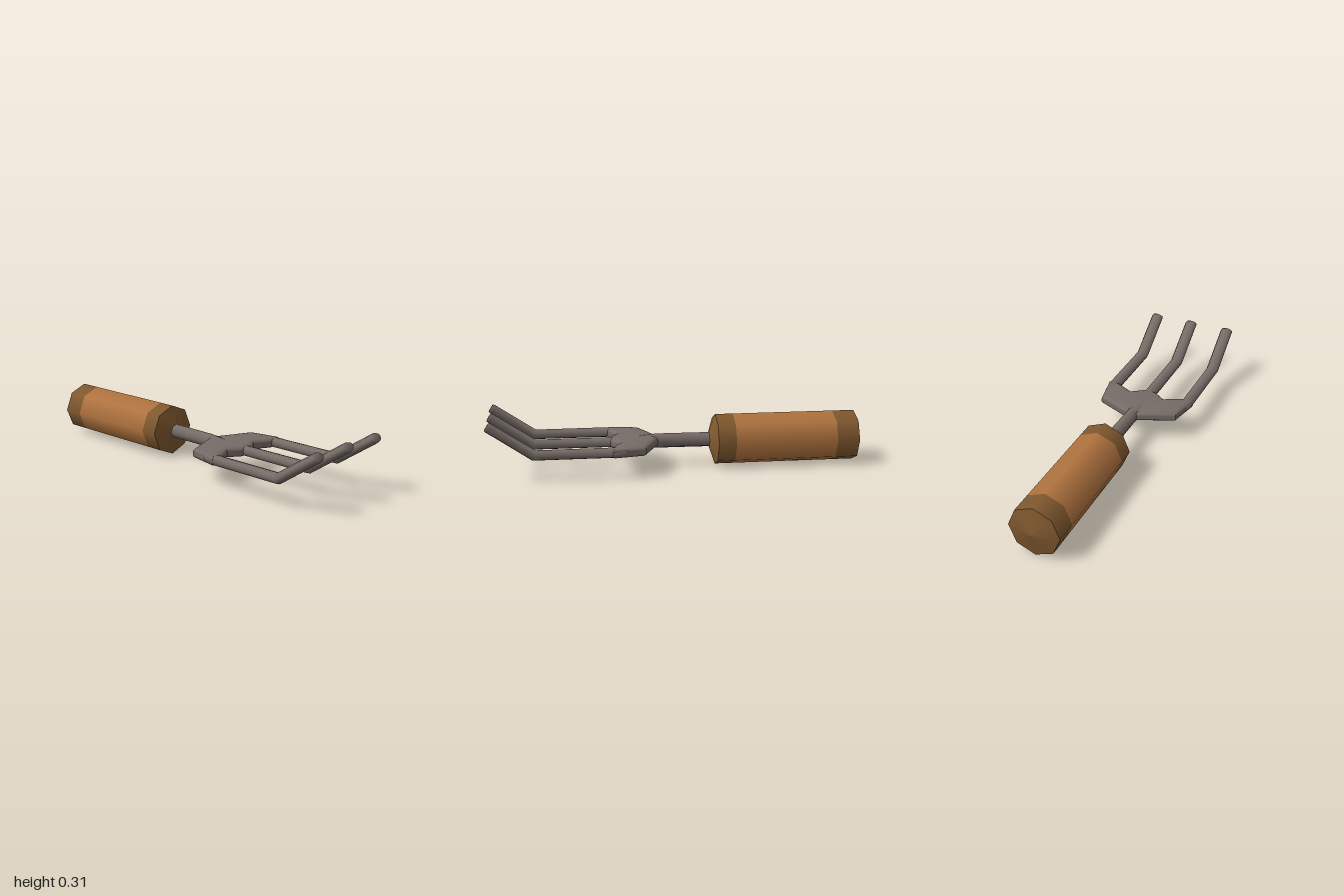
import * as THREE from 'three';
import { mergeVertices, toCreasedNormals } from 'three/addons/utils/BufferGeometryUtils.js';

const MID_Y = 0.14;

function material(name, color) {
  const m = new THREE.MeshStandardMaterial({ color });
  m.name = name;
  return m;
}

// Eight-sided rod along z; each row is [x, y, z, radiusX, radiusY, tilt]
function rod(rows) {
  const n = rows.length - 1;
  const g = new THREE.CylinderGeometry(1, 1, n, 8, n).rotateX(Math.PI / 2);
  const p = g.attributes.position;
  for (let i = 0; i < p.count; i++) {
    const [x, y, z, rx, ry, tilt] = rows[Math.round(p.getZ(i) + n / 2)];
    const up = p.getY(i) * ry;
    p.setXYZ(i, x + p.getX(i) * rx, y + up * Math.cos(tilt), z - up * Math.sin(tilt));
  }
  g.deleteAttribute('normal');
  g.deleteAttribute('uv');
  const smooth = mergeVertices(g, 1e-4);
  smooth.computeVertexNormals();
  return smooth;
}

export function createModel() {
  const model = new THREE.Group();
  model.name = 'handFork';
  const wood = material('orangeWood', 0xb0733f);
  const darkWood = material('darkWood', 0x80592f);
  const metal = material('greyMetal', 0x766c67);

  const add = (name, geometry, mat) => {
    const mesh = new THREE.Mesh(geometry, mat);
    mesh.name = name;
    model.add(mesh);
    return mesh;
  };

  // Handle: grip, two end bands and shallow conical ends
  const section = (name, z0, z1, r0, r1, mat) => {
    const g = new THREE.CylinderGeometry(r1, r0, z1 - z0, 8, 1, true).rotateX(Math.PI / 2);
    add(name, g, mat).position.set(0.01, MID_Y, (z0 + z1) / 2);
  };
  const R = 0.137;
  section('handleGrip', -0.85, -0.3, R, R, wood);
  section('rearBand', -0.97, -0.85, R, R, darkWood);
  section('frontBand', -0.3, -0.205, R, R, darkWood);
  section('rearCap', -1, -0.97, 0, R, darkWood);
  section('frontCap', -0.205, -0.158, R, 0, darkWood);

  // Shaft, flattening into the fork head
  add('shaft', rod([
    [0.01, MID_Y, -0.22, 0.041, 0.039, 0],
    [0.003, MID_Y, 0.11, 0.033, 0.039, 0],
    [0, MID_Y, 0.2, 0.06, 0.029, 0],
    [0, MID_Y, 0.28, 0.05, 0.022, 0],
  ]), metal);

  // Fork head: right half of the outline, mirrored to the left
  const half = [[0.03, 0.105], [0.223, 0.188], [0.257, 0.36], [0.19, 0.36], [0.1, 0.312], [0.035, 0.358]];
  const outline = [...half, ...half.map(([x, z]) => [-x, z]).reverse()];
  const head = new THREE.ExtrudeGeometry(
    new THREE.Shape(outline.map(([x, z]) => new THREE.Vector2(x, z))),
    { depth: 0.016, bevelThickness: 0.019, bevelSize: 0.024, bevelOffset: -0.024, bevelSegments: 3 },
  );
  head.translate(0, 0, -0.008).rotateX(Math.PI / 2);
  add('forkHead', toCreasedNormals(head, 0.9), metal).position.y = MID_Y;

  // Three tines, bent upwards towards the tips
  ['rightTine', 'middleTine', 'leftTine'].forEach((name, i) => {
    const x = [-0.225, 0.002, 0.223][i];
    add(name, rod([
      [x, MID_Y, 0.29, 0.026, 0.02, 0],
      [x, MID_Y, 0.35, 0.035, 0.027, 0],
      [x, MID_Y, 0.757, 0.035, 0.028, 0.3],
      [x, 0.29, 0.979, 0.035, 0.026, 0.59],
      [x, 0.295, 0.986, 0.031, 0.022, 0.59],
    ]), metal);
  });

  return model;
}
